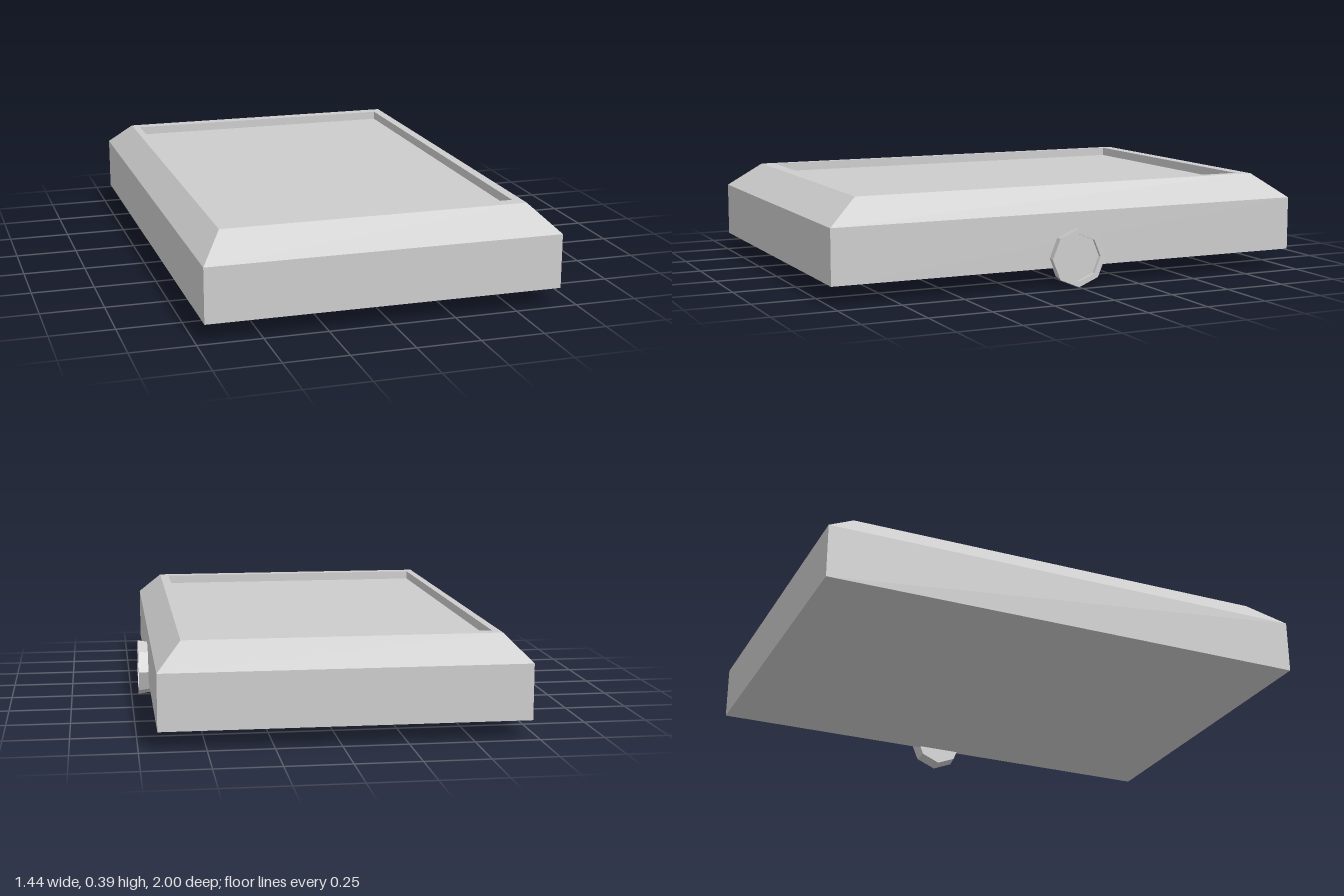
import * as THREE from 'three';

// Rectangular section: [y, xMin, xMax, zMin, zMax] -> four corners
const ring = ([y, x0, x1, z0, z1]) => [[x0, y, z1], [x1, y, z1], [x1, y, z0], [x0, y, z0]];

// Joins consecutive sections with flat quads and caps both ends
function loft(sections) {
  const rings = sections.map(ring);
  const pos = [];
  const quad = (a, b, c, d) => pos.push(...a, ...b, ...c, ...a, ...c, ...d);
  for (let i = 0; i < rings.length - 1; i++) {
    for (let j = 0; j < 4; j++) {
      const k = (j + 1) % 4;
      quad(rings[i][j], rings[i][k], rings[i + 1][k], rings[i + 1][j]);
    }
  }
  quad(...[...rings[0]].reverse());
  quad(...rings[rings.length - 1]);
  const geo = new THREE.BufferGeometry();
  geo.setAttribute('position', new THREE.Float32BufferAttribute(pos, 3));
  geo.computeVertexNormals();
  return geo;
}

export function createModel() {
  const group = new THREE.Group();
  const casing = new THREE.MeshStandardMaterial({ color: 0xcccccc, flatShading: true });
  casing.name = 'light grey';

  // Casing: straight sides, bevelled shoulders, narrow rim and sunken screen
  const body = new THREE.Mesh(loft([
    [0.08, -0.72, 0.68, -1, 1],
    [0.296, -0.72, 0.68, -1, 1],
    [0.393, -0.63, 0.585, -0.875, 0.87],
    [0.393, -0.6, 0.547, -0.825, 0.817],
    [0.358, -0.6, 0.547, -0.825, 0.817],
  ]), casing);
  body.name = 'casing';
  group.add(body);

  // Side crown: flared octagonal knob with a dished outer face
  const profile = [[0, 0], [0.107, 0], [0.116, 0.055], [0.093, 0.055], [0.093, 0.04], [0, 0.04]]
    .map(([r, h]) => new THREE.Vector2(r, h));
  const crown = new THREE.Mesh(new THREE.LatheGeometry(profile, 8), casing);
  crown.name = 'crown';
  crown.rotation.z = -Math.PI / 2;
  crown.position.set(0.665, 0.12, 0);
  group.add(crown);

  return group;
}
